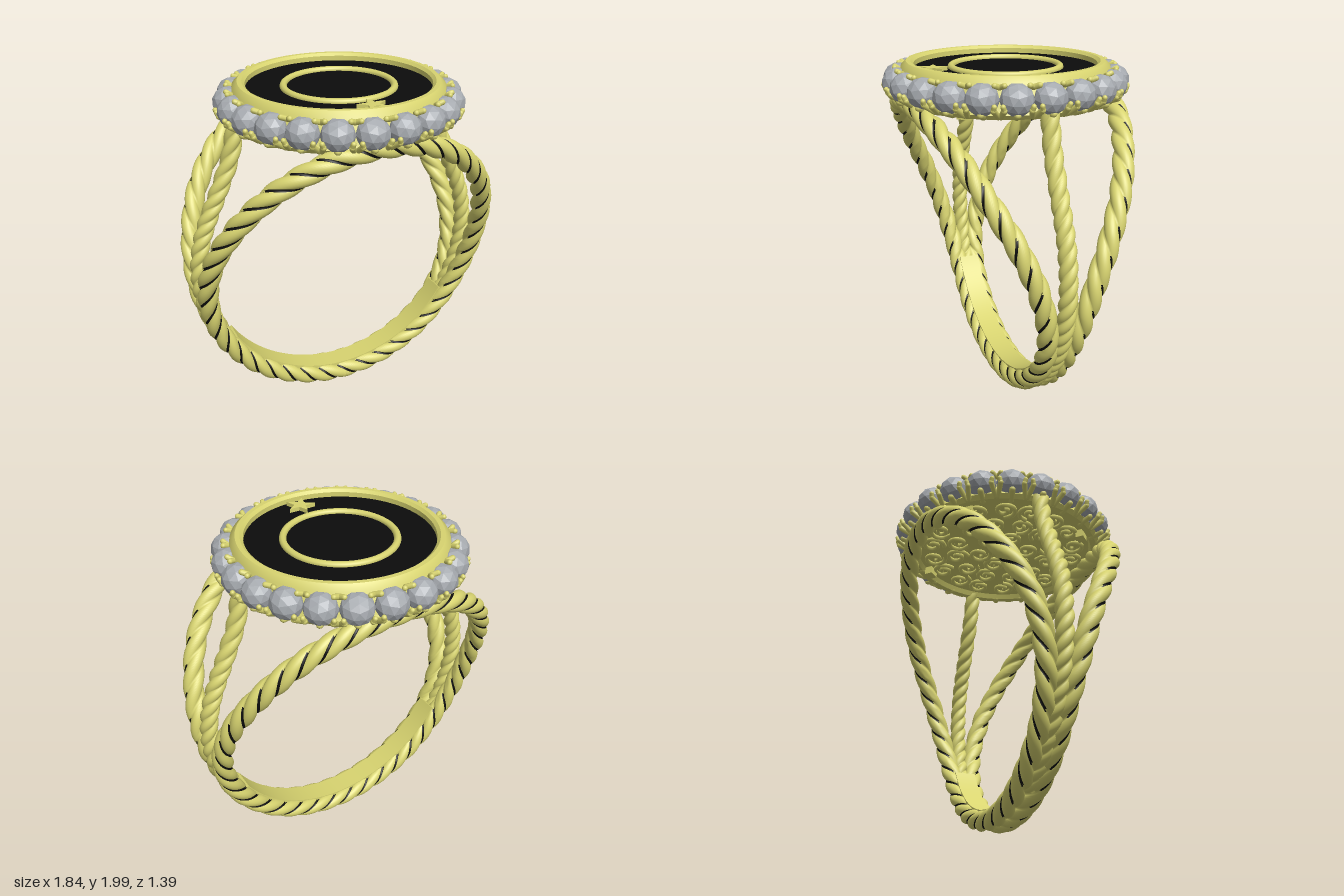
import * as THREE from 'three';
import { mergeGeometries, toCreasedNormals } from 'three/addons/utils/BufferGeometryUtils.js';

const material = (name, color) => Object.assign(new THREE.MeshStandardMaterial({ color }), { name });
const CY = 0.935, INNER = 0.805, MID = 0.862; // finger hole centre, hole radius, rope centreline radius

// Three-strand twisted rope along path(t); the finger side is pressed flat, groove faces form group 1
function ropeGeometry(path, { radius, turns, hand, steps, darkSide = 0 }) {
  const SEG = 36, pos = [], gold = [], dark = [];
  const p = new THREE.Vector3(), T = new THREE.Vector3(), N = new THREE.Vector3(), B = new THREE.Vector3();
  const v = new THREE.Vector3();
  for (let i = 0; i <= steps; i++) {
    const t = i / steps;
    p.copy(path(t));
    T.copy(path(t + 0.001)).sub(path(t - 0.001)).normalize();
    N.set(p.x, p.y - CY, 0).normalize();
    N.addScaledVector(T, -N.dot(T)).normalize();
    B.crossVectors(T, N);
    for (let j = 0; j < SEG; j++) {
      const a = (j / SEG) * Math.PI * 2;
      const phi = a + hand * turns * Math.PI * 2 * t;
      const r = radius * (0.74 + 0.28 * Math.pow(Math.abs(Math.sin(1.5 * a)), 0.8));
      v.copy(N).multiplyScalar(Math.cos(phi)).addScaledVector(B, Math.sin(phi));
      const facing = v.z * darkSide;
      v.multiplyScalar(r).add(p);
      const d = Math.hypot(v.x, v.y - CY);
      if (d < INNER) {
        v.x *= INNER / d;
        v.y = CY + ((v.y - CY) * INNER) / d;
      }
      pos.push(v.x, v.y, v.z);
      if (i === steps) continue;
      const k = (j + 1) % SEG, q = i * SEG;
      const groove = j % 12 === 0 || j % 12 === 11;
      const list = groove && facing > 0.05 ? dark : gold;
      list.push(q + j, q + k, q + SEG + k, q + j, q + SEG + k, q + SEG + j);
    }
  }
  const g = new THREE.BufferGeometry();
  g.setAttribute('position', new THREE.Float32BufferAttribute(pos, 3));
  g.setIndex(gold.concat(dark));
  g.addGroup(0, gold.length, 0);
  g.addGroup(gold.length, dark.length, 1);
  g.computeVertexNormals();
  return g;
}

// Piecewise smooth sideways spread of the outer ropes by height
function spread(y) {
  const h = [0, 0.4, 0.6, 0.8, 1.0, 1.2, 1.4, 1.6, 1.8];
  const z = [0.05, 0.056, 0.075, 0.115, 0.175, 0.26, 0.36, 0.46, 0.57];
  let i = 0;
  while (i < h.length - 2 && y > h[i + 1]) i++;
  const f = THREE.MathUtils.clamp((y - h[i]) / (h[i + 1] - h[i]), 0, 1);
  return THREE.MathUtils.lerp(z[i], z[i + 1], f);
}

// Short rounded peg between two points
function peg(a, b, r) {
  const dir = b.clone().sub(a);
  const g = new THREE.CapsuleGeometry(r, dir.length(), 3, 8);
  g.applyQuaternion(new THREE.Quaternion().setFromUnitVectors(new THREE.Vector3(0, 1, 0), dir.normalize()));
  return g.translate((a.x + b.x) / 2, (a.y + b.y) / 2, (a.z + b.z) / 2);
}

const polar = (r, y, a) => new THREE.Vector3(r * Math.cos(a), y, r * Math.sin(a));

export function createModel() {
  const model = new THREE.Group();
  const gold = material('gold', 0xd8d470);
  const black = material('black enamel', 0x0c0c0c);
  const gem = material('grey gem', 0xa6aaaf);
  const add = (name, geometry, mat, parent = model) => {
    const m = new THREE.Mesh(geometry, mat);
    m.name = name;
    parent.add(m);
    return m;
  };

  // Two full rope loops that spread apart toward the head
  for (const side of [1, -1]) {
    const path = (t) => {
      const a = t * Math.PI * 2 - Math.PI / 2, y = CY + MID * Math.sin(a);
      return new THREE.Vector3(MID * Math.cos(a), y, side * spread(y));
    };
    add(side > 0 ? 'frontRope' : 'backRope',
      ropeGeometry(path, { radius: 0.06, turns: 13, hand: side, steps: 390, darkSide: side }), [gold, black]);
  }

  // Thin middle rope on each flank, rising to the head's edge
  for (const side of [1, -1]) {
    const pts = [];
    for (let d = -65; d <= 25; d += 10) {
      const a = THREE.MathUtils.degToRad(d);
      pts.push(new THREE.Vector3(side * 0.868 * Math.cos(a), CY + 0.868 * Math.sin(a), 0));
    }
    for (const [x, y] of [[0.72, 1.45], [0.645, 1.63], [0.6, 1.82]]) pts.push(new THREE.Vector3(side * x, y, 0));
    const curve = new THREE.CatmullRomCurve3(pts);
    const path = (t) => curve.getPoint(THREE.MathUtils.clamp(t, 0, 1));
    add(side > 0 ? 'leftMiddleRope' : 'rightMiddleRope',
      ropeGeometry(path, { radius: 0.051, turns: 7, hand: 1, steps: 190 }), [gold, black]);
  }

  // Smooth lining inside the bottom of the band
  const arc = new THREE.Shape();
  const a0 = -Math.PI * 0.83, a1 = -Math.PI * 0.17;
  arc.absarc(0, 0, 0.84, a0, a1, false);
  arc.absarc(0, 0, 0.8, a1, a0, true);
  const lining = new THREE.ExtrudeGeometry(arc, { depth: 0.13, bevelEnabled: false, curveSegments: 48 });
  add('bandLining', toCreasedNormals(lining.translate(0, CY, -0.065), 0.6), gold);

  // Head: bezel with base plate, enamel face, inner ring and star
  const head = new THREE.Group();
  head.name = 'head';
  model.add(head);
  const profile = [[0, 1.82], [0.55, 1.82], [0.565, 1.79], [0.6, 1.79], [0.62, 1.815], [0.6, 1.85], [0.585, 1.972],
    [0.555, 2], [0.53, 2], [0.513, 1.985], [0.513, 1.94]].map(([x, y]) => new THREE.Vector2(x, y));
  add('bezel', toCreasedNormals(new THREE.LatheGeometry(profile, 96), 0.7), gold, head);
  add('enamelFace', new THREE.CylinderGeometry(0.515, 0.515, 0.02, 96).translate(0, 1.947, 0), black, head);
  add('innerRing', new THREE.TorusGeometry(0.305, 0.02, 10, 96).rotateX(Math.PI / 2).translate(0, 1.96, 0), gold, head);
  const star = new THREE.Shape();
  for (let i = 0; i < 10; i++) {
    const r = i % 2 ? 0.034 : 0.085, a = Math.PI / 2 + (i * Math.PI) / 5;
    star[i ? 'lineTo' : 'moveTo'](r * Math.cos(a), r * Math.sin(a));
  }
  const starGeo = new THREE.ExtrudeGeometry(star, { depth: 0.025, bevelEnabled: false });
  add('star', starGeo.rotateX(-Math.PI / 2).translate(0, 1.955, 0.425), gold, head);

  // Halo of faceted gems with paired prongs in each gap
  const COUNT = 22, prongs = [];
  for (let i = 0; i < COUNT; i++) {
    const a = (i / COUNT) * Math.PI * 2;
    const stone = add('haloGem', new THREE.IcosahedronGeometry(0.09, 1), gem, head);
    stone.material.flatShading = true;
    stone.position.copy(polar(0.612, 1.893, a));
    stone.rotation.set(0, -a, -0.75);
    stone.scale.set(0.95, 0.9, 1);
    const gap = a + Math.PI / COUNT;
    for (const s of [-1, 1]) {
      prongs.push(peg(polar(0.605, 1.805, gap + s * 0.012), polar(0.672, 1.85, gap + s * 0.04), 0.016));
      prongs.push(peg(polar(0.672, 1.85, gap + s * 0.04), polar(0.682, 1.872, gap + s * 0.032), 0.014));
      prongs.push(peg(polar(0.59, 1.95, gap), polar(0.618, 1.964, gap + s * 0.04), 0.015));
    }
    prongs.push(peg(polar(0.58, 1.8, a), polar(0.645, 1.822, a), 0.02));
  }
  add('prongs', mergeGeometries(prongs), gold, head);

  // Scrollwork and small lugs on the underside
  const scrolls = [];
  for (const [r, n] of [[0.0, 1], [0.155, 6], [0.305, 12], [0.455, 18]]) {
    for (let i = 0; i < n; i++) {
      const a = (i / n) * Math.PI * 2, c = polar(r, 1.812, a), pts = [];
      for (let k = 0; k <= 12; k++) {
        const w = a + (k / 12) * Math.PI * 3 * (i % 2 ? 1 : -1);
        pts.push(polar(0.012 + 0.062 * (k / 12), 0, w).add(c));
      }
      scrolls.push(new THREE.TubeGeometry(new THREE.CatmullRomCurve3(pts), 30, 0.014, 6));
    }
  }
  add('undersideScrolls', mergeGeometries(scrolls), gold, head);
  for (let i = 0; i < 4; i++) {
    const lug = add('lug', new THREE.BoxGeometry(0.05, 0.05, 0.07), gold, head);
    lug.position.copy(polar(0.53, 1.795, (i * Math.PI) / 2 + Math.PI / 4));
    lug.rotation.y = -(i * Math.PI) / 2 - Math.PI / 4;
  }
  return model;
}
